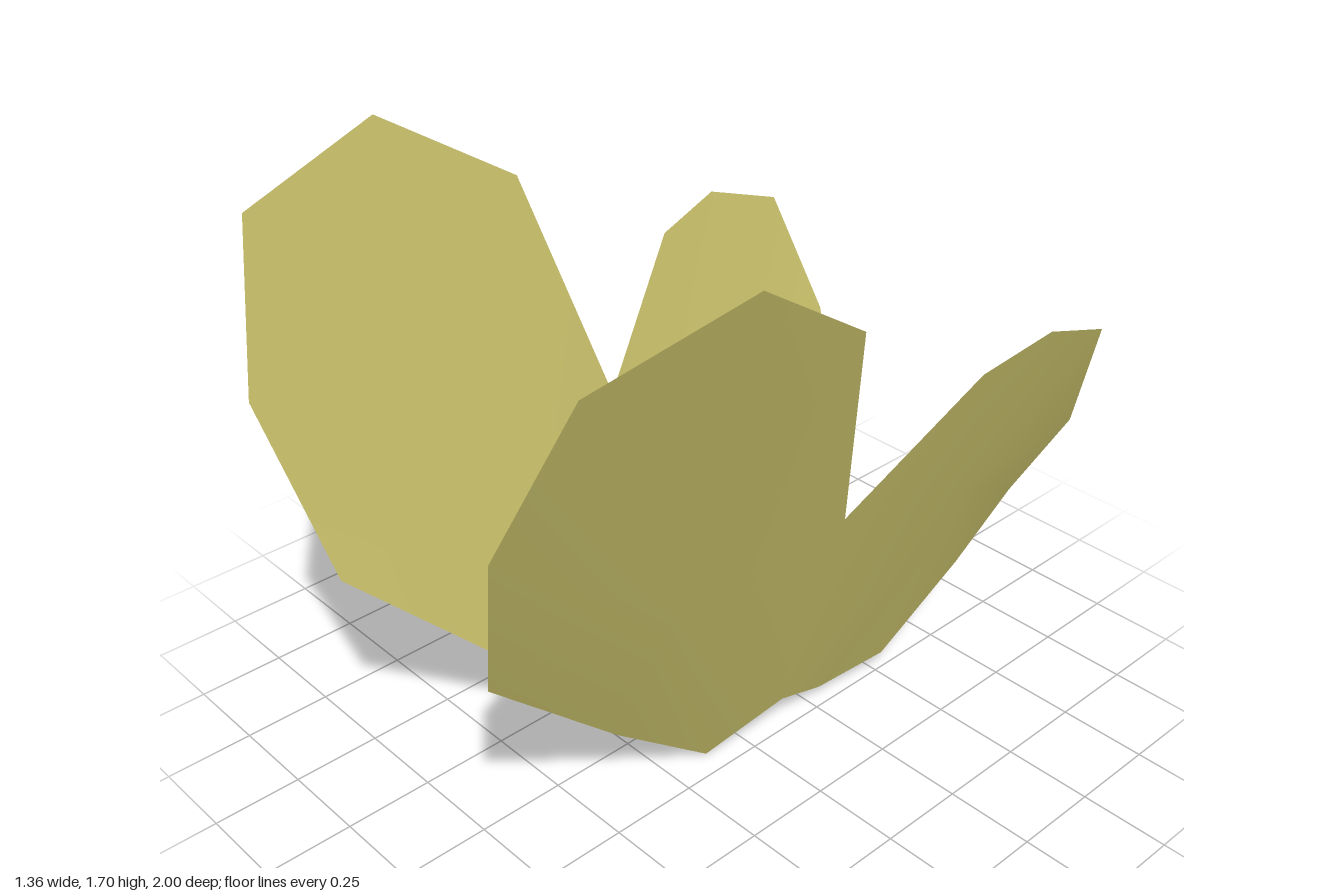
import * as THREE from 'three';

// Outline of the left wing as [x, y, z], clockwise seen from outside
const notch = [0.445, 0.80, -0.105];
const root = [0.245, 0.105, -0.11];
const foreOutline = [
  root, [0.18, 0.0, 0.12], [0.19, 0.26, 0.445], [0.295, 0.72, 0.91], [0.46, 1.19, 1.0],
  [0.61, 1.585, 0.87], [0.68, 1.70, 0.445], [0.62, 1.45, 0.058], notch,
];
const hindOutline = [
  notch, [0.585, 1.145, -0.435], [0.62, 1.20, -0.655], [0.605, 1.115, -0.905], [0.48, 0.75, -1.0],
  [0.365, 0.505, -0.91], [0.315, 0.30, -0.755], [0.255, 0.06, -0.515], [0.22, 0.035, -0.288], root,
];
// Slightly bulged centres of the two lobes
const foreCentre = [0.395, 0.75, 0.42];
const hindCentre = [0.46, 0.71, -0.56];

// One cambered sheet: a fan of faces around each lobe centre
function wingGeometry(side) {
  const points = [];
  const index = [];
  const id = (p) => {
    if (!points.includes(p)) points.push(p);
    return points.indexOf(p);
  };
  for (const [centre, outline] of [[foreCentre, foreOutline], [hindCentre, hindOutline]]) {
    const fan = [...outline, outline[0]]; // closed across the notch-to-root seam
    for (let i = 0; i < fan.length - 1; i++) {
      const a = id(fan[i]);
      const b = id(fan[i + 1]);
      index.push(id(centre), ...(side > 0 ? [b, a] : [a, b]));
    }
  }
  const geometry = new THREE.BufferGeometry();
  const positions = points.flatMap(([x, y, z]) => [x * side, y, z]);
  geometry.setAttribute('position', new THREE.Float32BufferAttribute(positions, 3));
  geometry.setIndex(index);
  geometry.computeVertexNormals();
  return geometry;
}

export function createModel() {
  const group = new THREE.Group();
  group.name = 'wings';
  const olive = new THREE.MeshStandardMaterial({ color: 0xc4bc68, side: THREE.DoubleSide });
  olive.name = 'olive yellow';

  for (const side of [1, -1]) {
    const wing = new THREE.Mesh(wingGeometry(side), olive);
    wing.name = side > 0 ? 'leftWing' : 'rightWing';
    group.add(wing);
  }
  return group;
}
